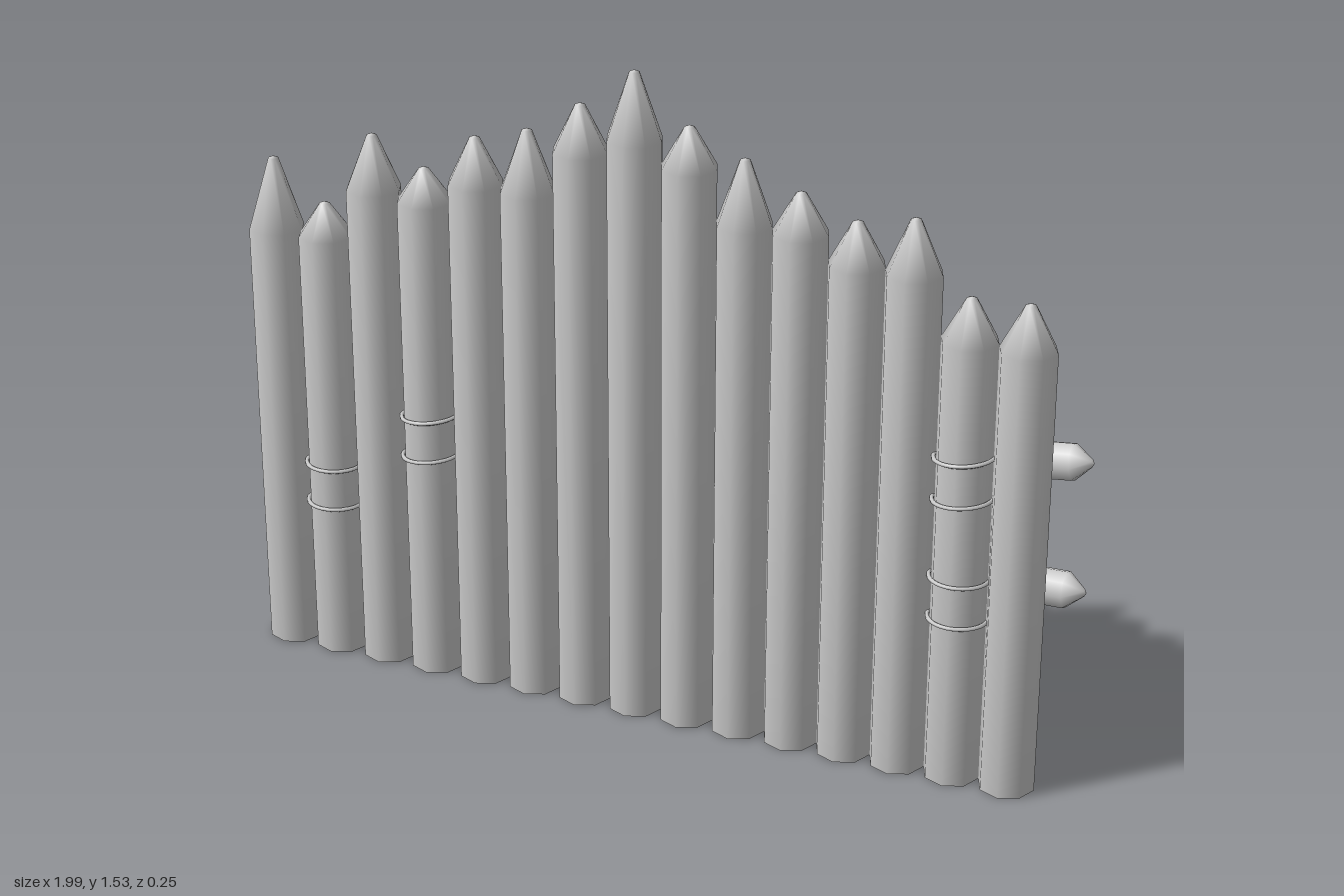
import * as THREE from 'three';

const mat = new THREE.MeshStandardMaterial({ color: 0xcccccc });
const POST_R = 0.064, POST_Z = 0.052, RAIL_R = 0.043, RAIL_Z = -0.062;

// Eight-sided pole standing on its base, sharpened at the top
function pole(radius, shoulder, tip, tipRadius) {
  const profile = [[0, 0], [radius, 0], [radius, shoulder], [tipRadius, tip - 0.005], [0, tip]];
  return new THREE.LatheGeometry(profile.map(([x, y]) => new THREE.Vector2(x, y)), 8);
}

function addMesh(group, geometry, name) {
  const mesh = new THREE.Mesh(geometry, mat);
  mesh.name = name;
  group.add(mesh);
  return mesh;
}

// Rope bound round one post and one rail, centred on the rail at (x, y)
function lashing(x, y, slope) {
  const group = new THREE.Group();
  group.name = 'lashing';
  const h = 0.049, w = 0.066, back = RAIL_Z - RAIL_R - 0.012;
  const point = (px, py, pz) => new THREE.Vector3(x + px, y + py + px * slope, pz);
  const points = [];
  for (const s of [1, -1]) {
    // strand across the front of the post
    for (let i = 0; i <= 6; i++) {
      const a = Math.PI * (1 - i / 6);
      points.push(point(s * Math.cos(a) * (POST_R + 0.004), s * h, POST_Z + Math.sin(a) * (POST_R + 0.002)));
    }
    // strand over the back of the rail
    points.push(point(s * w, s * h, -0.015), point(s * w * 0.9, s * h, RAIL_Z),
      point(s * w * 0.85, s * 0.028, back + 0.008), point(s * w * 0.85, -s * 0.028, back + 0.008),
      point(s * w * 0.9, -s * h, RAIL_Z), point(s * w, -s * h, -0.015));
  }
  const loop = new THREE.CatmullRomCurve3(points, true);
  addMesh(group, new THREE.TubeGeometry(loop, 100, 0.005, 6, true), 'ropeLoop');
  // diagonal strand behind the rail
  const diagonal = new THREE.CatmullRomCurve3([
    point(-w, h, -0.012), point(-w * 0.7, h + 0.006, RAIL_Z), point(-w * 0.2, 0.028, back + 0.004),
    point(w * 0.4, -0.028, back + 0.004), point(w * 0.8, -h - 0.004, RAIL_Z), point(w, -h, -0.012),
  ]);
  addMesh(group, new THREE.TubeGeometry(diagonal, 36, 0.005, 6), 'ropeDiagonal');
  return group;
}

export function createModel() {
  const model = new THREE.Group();
  model.name = 'palisade';

  // Upright posts: shoulder height, tip height
  const posts = [
    [1.04, 1.21], [1.04, 1.12], [1.17, 1.30], [1.16, 1.24], [1.22, 1.33],
    [1.22, 1.365], [1.33, 1.44], [1.375, 1.53], [1.33, 1.425], [1.22, 1.37],
    [1.22, 1.315], [1.17, 1.27], [1.17, 1.295], [1.04, 1.14], [1.04, 1.145],
  ];
  const postX = (i) => -0.911 + i * 0.1273;
  posts.forEach(([shoulder, tip], i) => {
    const post = addMesh(model, pole(POST_R, shoulder, tip, 0.012), 'post');
    post.position.set(postX(i), 0, POST_Z);
  });

  // Sloping rails behind the posts, with the posts each is tied to
  const rails = [
    { y0: 0.545, y1: 0.755, ties: [3, 13] },
    { y0: 0.425, y1: 0.445, ties: [1, 13] },
  ];
  for (const { y0, y1, ties } of rails) {
    const start = new THREE.Vector3(-0.995, y0, RAIL_Z);
    const dir = new THREE.Vector3(0.995, y1, RAIL_Z).sub(start);
    const length = dir.length(), slope = dir.y / dir.x;
    const rail = addMesh(model, pole(RAIL_R, length - 0.045, length, 0.009), 'rail');
    rail.position.copy(start);
    rail.quaternion.setFromUnitVectors(new THREE.Vector3(0, 1, 0), dir.normalize());
    for (const i of ties) {
      const x = postX(i);
      model.add(lashing(x, y0 + (x - start.x) * slope, slope));
    }
  }
  return model;
}
